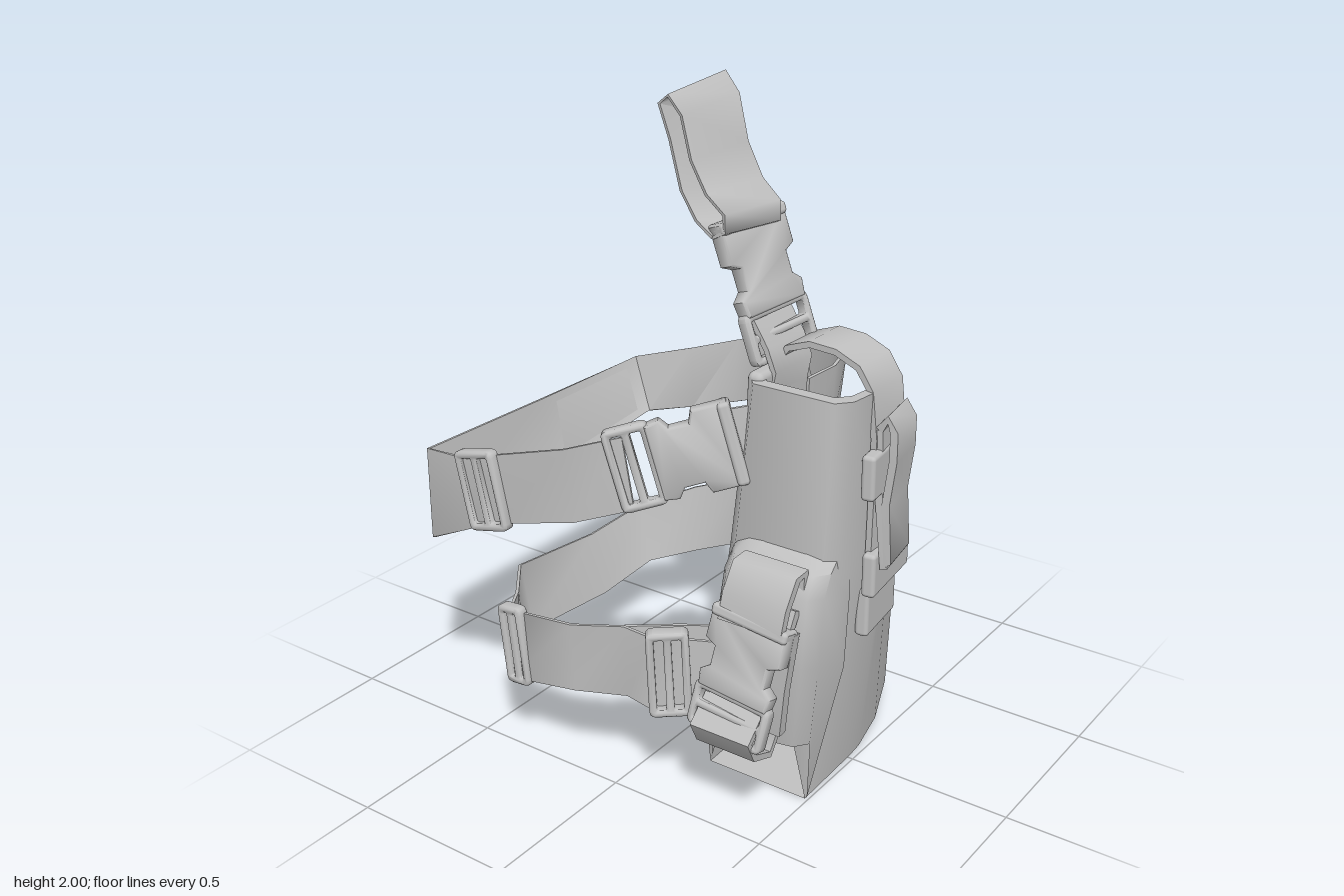
import * as THREE from 'three';
import { toCreasedNormals } from 'three/addons/utils/BufferGeometryUtils.js';
import { RoundedBoxGeometry } from 'three/addons/geometries/RoundedBoxGeometry.js';

const V = (x, y, z) => new THREE.Vector3(x, y, z);
const fabric = new THREE.MeshStandardMaterial({ color: 0xc0c0c0, side: THREE.DoubleSide });
fabric.name = 'grey fabric';

function part(name, geometry, x = 0, y = 0, z = 0) {
  const m = new THREE.Mesh(geometry, fabric);
  m.name = name;
  m.position.set(x, y, z);
  return m;
}

// Skin through rings of points
function loft(rings, { closed = true, caps = false, crease = 1.2 } = {}) {
  const n = rings[0].length, pos = [], index = [];
  rings.forEach(r => r.forEach(p => pos.push(p.x, p.y, p.z)));
  for (let i = 0; i < rings.length - 1; i++) {
    for (let j = 0; j < (closed ? n : n - 1); j++) {
      const a = i * n + j, b = i * n + (j + 1) % n;
      index.push(a, b, a + n, b, b + n, a + n);
    }
  }
  if (caps) {
    const e = (rings.length - 1) * n;
    for (let j = 1; j < n - 1; j++) index.push(0, j + 1, j, e, e + j, e + j + 1);
  }
  const g = new THREE.BufferGeometry();
  g.setAttribute('position', new THREE.Float32BufferAttribute(pos, 3));
  g.setIndex(index);
  return toCreasedNormals(g, crease);
}

// Webbing: each row holds the two edges of the band
function webbing(name, rows, thick = 0.01) {
  const A = rows.map(r => V(r[0], r[1], r[2])), B = rows.map(r => V(r[3], r[4], r[5]));
  const last = rows.length - 1;
  const rings = rows.map((_, i) => {
    const t = A[Math.min(i + 1, last)].clone().sub(A[Math.max(i - 1, 0)]);
    const n = t.cross(B[i].clone().sub(A[i])).setLength(thick / 2);
    return [A[i].clone().add(n), A[i].clone().sub(n), B[i].clone().sub(n), B[i].clone().add(n)];
  });
  return part(name, loft(rings, { caps: true }));
}
// Band whose width runs along z (leaning in x) or along x
const bandZ = (name, pts, z0, z1, t, lean = 0) =>
  webbing(name, pts.map(([x, y]) => [x - lean, y, z0, x + lean, y, z1]), t);
const bandX = (name, pts, w, t) =>
  webbing(name, pts.map(([x, y, z]) => [x - w / 2, y, z, x + w / 2, y, z]), t);

function roundRect(path, x0, y0, x1, y1, r) {
  path.moveTo(x0 + r, y0);
  path.lineTo(x1 - r, y0); path.quadraticCurveTo(x1, y0, x1, y0 + r);
  path.lineTo(x1, y1 - r); path.quadraticCurveTo(x1, y1, x1 - r, y1);
  path.lineTo(x0 + r, y1); path.quadraticCurveTo(x0, y1, x0, y1 - r);
  path.lineTo(x0, y0 + r); path.quadraticCurveTo(x0, y0, x0 + r, y0);
  return path;
}
function plate(shape, depth) {
  const g = new THREE.ExtrudeGeometry(shape, {
    depth: depth - 0.012, bevelThickness: 0.006, bevelSize: 0.006, bevelOffset: -0.006,
    bevelSegments: 1, curveSegments: 3,
  });
  g.translate(0, 0, -depth / 2 + 0.006);
  return toCreasedNormals(g, 0.8);
}
// Frame with a centre bar, from x0 to x1 and w wide
function frame(x0, x1, w, depth = 0.04) {
  const s = roundRect(new THREE.Shape(), x0, -w / 2, x1, w / 2, 0.02);
  const bar = 0.022, mid = (x0 + x1) / 2;
  s.holes.push(roundRect(new THREE.Path(), x0 + bar, -w / 2 + bar, mid - bar / 2, w / 2 - bar, 0.006));
  s.holes.push(roundRect(new THREE.Path(), mid + bar / 2, -w / 2 + bar, x1 - bar, w / 2 - bar, 0.006));
  return plate(s, depth);
}
// Turn a part so its x runs along u and its y along v
function place(object, centre, u, v) {
  const X = V(...u).normalize(), Z = X.clone().cross(V(...v)).normalize();
  object.quaternion.setFromRotationMatrix(new THREE.Matrix4().makeBasis(X, Z.clone().cross(X), Z));
  object.position.set(...centre);
  return object;
}
// Side-release buckle: waisted socket, prongs and ladder end
function buckle(name, L, W, centre, u, v) {
  const g = new THREE.Group();
  g.name = name;
  const h = W / 2, s = new THREE.Shape();
  s.moveTo(-L / 2, -h);
  for (const [x, y] of [[-0.22, -1], [-0.18, -0.72], [-0.02, -0.72], [0.04, -0.95], [0.16, -0.9],
    [0.16, 0.9], [0.04, 0.95], [-0.02, 0.72], [-0.18, 0.72], [-0.22, 1], [-0.5, 1]]) s.lineTo(x * L, y * h);
  s.closePath();
  g.add(part('buckleSocket', plate(s, 0.05)));
  g.add(part('buckleLadder', frame(L * 0.13, L / 2, W)));
  g.add(part('buckleBar', new RoundedBoxGeometry(0.035, W, 0.07, 2, 0.012), -L * 0.47, 0, 0));
  return place(g, centre, u, v);
}

function createModel() {
  const model = new THREE.Group();
  model.name = 'thighHolster';
  const add = (...items) => model.add(...items);

  // Main shell: columns of top, middle and bottom points
  const columns = [
    [.315, 1.24, .275, .27, .75, .29, .2, .22, .33],
    [.565, 1.24, .275, .55, .75, .29, .5, .22, .33],
    [.6, 1.24, .235, .59, .75, .25, .49, 0, .25],
    [.595, 1.22, 0, .58, .75, 0, .49, .01, 0],
    [.56, 1.03, -.04, .565, .7, -.05, .485, .01, -.06],
    [.495, .94, -.19, .505, .6, -.2, .46, .025, -.2],
    [.425, .85, -.32, .43, .5, -.33, .41, .065, -.345],
    [.33, .86, -.335, .32, .5, -.34, .29, .065, -.345],
    [.22, .9, -.34, .21, .5, -.335, .17, .065, -.34],
    [.27, 1.08, -.1, .23, .65, -.1, .16, .02, -.1],
    [.28, 1.24, 0, .23, .75, 0, .16, .01, 0],
    [.28, 1.24, .235, .23, .75, .25, .16, 0, .25],
  ];
  const ring = k => columns.map(c => V(c[k], c[k + 1], c[k + 2]));
  // The lining is the same ring drawn in towards its middle
  const inset = (k, cx) => ring(k).map(p => V(cx + (p.x - cx) * .84, p.y, p.z * .86));
  add(part('holsterShell', loft([ring(6), ring(3), ring(0), inset(0, .43), inset(3, .41)], { crease: 0.9 })));
  const foot = ring(6);
  add(part('holsterFloor', loft([[2, 11], [3, 10], [5, 9], [6, 8]].map(r => r.map(i => foot[i])), { closed: false })));

  // Inner padding behind the hanger
  const pad = part('innerPad', new RoundedBoxGeometry(.05, .4, .25, 2, .02), .295, 1.06, .13);
  pad.rotation.z = -0.04;
  add(pad);

  // Bulging pouch on the lower front: y, left x, right x, front z
  const pouch = [[.23, .215, .535, .355], [.5, .235, .575, .385], [.71, .265, .585, .38], [.77, .275, .585, .35],
    [.8, .29, .575, .29]]
    .map(([y, l, r, f]) => [V(l, y - .06, .2), V(l, y, f - .05), V(l + .03, y, f - .01), V(l + .08, y, f),
      V(r - .08, y, f), V(r - .03, y, f - .01), V(r, y, f - .05), V(r, y - .06, .2)]);
  Object.assign(pouch[0][0], { x: .16, y: 0, z: .245 });
  Object.assign(pouch[0][7], { x: .493, y: 0, z: .245 });
  add(part('frontPouch', loft(pouch, { closed: false, crease: 1 })));

  // Upper leg strap
  add(webbing('upperLegStrap', [
    [.315, 1.17, 0, .305, .97, 0], [.32, 1.17, -.13, .31, .97, -.13], [.285, 1.17, -.25, .265, .96, -.24],
    [.2, 1.16, -.345, .17, .95, -.33], [0, 1.11, -.46, -.01, .9, -.445], [-.12, 1.06, -.5, -.12, .86, -.48],
    [-.29, 1, -.55, -.28, .8, -.5], [-.45, .95, -.51, -.42, .76, -.475], [-.67, .88, -.485, -.58, .72, -.44],
    [-.675, .88, 0, -.635, .64, 0], [-.67, .89, .5, -.63, .63, .54], [-.5, .92, .54, -.48, .7, .54],
    [-.38, .95, .52, -.37, .74, .52], [-.13, 1.03, .525, -.1, .82, .525], [.02, 1.08, .46, .05, .87, .45],
  ]));
  // Lower leg strap
  add(webbing('lowerLegStrap', [
    [.25, .57, -.2, .22, .33, -.2], [.2, .57, -.345, .19, .33, -.34], [0, .56, -.455, 0, .33, -.44],
    [-.25, .53, -.51, -.25, .3, -.49], [-.4, .48, -.455, -.38, .26, -.43], [-.56, .41, -.35, -.51, .22, -.34],
    [-.565, .4, -.1, -.515, .2, -.1], [-.61, .4, .2, -.56, .19, .21], [-.46, .43, .38, -.45, .23, .37],
    [-.38, .45, .5, -.37, .23, .51], [-.13, .49, .52, -.12, .28, .52], [.02, .51, .47, .03, .29, .47],
    [.14, .52, .49, .14, .29, .49], [.22, .51, .42, .22, .29, .42], [.29, .49, .35, .29, .29, .35],
  ]));
  // Side branch towards the shell
  add(webbing('lowerStrapAnchor', [
    [0, .5, .46, 0, .32, .46], [.13, .5, .36, .13, .32, .36], [.25, .49, .26, .24, .3, .26],
  ]));

  // Strap sliders and buckles
  add(place(part('upperSlider', frame(-.07, .07, .24)), [-.425, .835, .535], [1, .22, -.05], [-.1, 1, 0]));
  add(place(part('lowerSlider', frame(-.045, .045, .25)), [-.35, .35, .51], [1, .12, .05], [-.08, 1, 0]));
  add(place(part('lowerStrapFrame', frame(-.06, .06, .26, .05)), [.175, .415, .47], [1, .05, -.75], [-.05, 1, 0]));
  add(buckle('upperStrapBuckle', .35, .24, [.13, 1.02, .375], [-.27, -.09, .2], [-.15, 1, 0]));
  add(webbing('upperStrapAnchor', [[.22, 1.15, .3, .24, .93, .3], [.32, 1.17, .22, .32, .95, .22]]));

  // Hanger: folded strap end above a buckle, turned slightly outwards
  add(webbing('hangerStrap', [
    [.19, 1.6], [.14, 1.64], [.095, 1.72], [.065, 1.86], [.035, 1.955], [.065, 1.98], [.105, 1.93],
    [.13, 1.81], [.175, 1.72], [.23, 1.67], [.23, 1.62], [.19, 1.6],
  ].map(([x, y]) => {
    const k = (y - 1.6) / .4 * .02;
    return [x + .01, y + k, .04 + k, x - .035, y - k, .235 + k];
  })));
  add(buckle('hangerBuckle', .39, .24, [.245, 1.455, .11], [.12, -.35, -.01], [-.22, 0, 1]));
  add(bandZ('hangerAnchor', [[.26, 1.38], [.305, 1.31], [.33, 1.25], [.3, 1.1]], .02, .2, .016));

  // Retention band over the mouth and down the outer side
  add(bandZ('retentionBand', [[.27, 1.15], [.285, 1.24], [.33, 1.3], [.4, 1.325], [.48, 1.32], [.55, 1.29],
    [.59, 1.23], [.605, 1.1], [.6, .72]], -.02, .135, .018));
  add(bandZ('outerFlap', [[.605, 1.13], [.63, 1.165], [.65, 1.13], [.65, 1.05], [.633, .92], [.645, .75],
    [.635, .73], [.625, .82], [.61, .95], [.605, 1.13]], -.015, .13, .022, .012));
  const keeper = (name, x, y, z, h, w) => {
    const k = part(name, new RoundedBoxGeometry(.04, h, w, 2, .012), x, y, z);
    k.rotation.y = 0.12;
    add(k);
  };
  keeper('upperKeeper', .605, 1.01, .065, .13, .25);
  keeper('lowerKeeper', .6, .71, .035, .13, .25);
  keeper('sidePatch', .565, .57, .02, .15, .2);

  // Closure down the front of the pouch
  add(bandX('closureLoop', [[.44, .72, .35], [.44, .78, .35], [.44, .775, .39], [.435, .7, .43],
    [.43, .63, .445], [.43, .61, .41], [.435, .68, .38]], .2, .025));
  add(buckle('frontBuckle', .35, .24, [.408, .475, .465], [-.1, -.93, .25], [1, -.1, 0]));
  add(bandX('closureTail', [[.4, .4, .47], [.395, .33, .535], [.39, .27, .5], [.38, .23, .41], [.385, .3, .37],
    [.39, .42, .39]], .19, .02));
  add(bandX('closureBacking', [[.43, .62, .4], [.41, .45, .41], [.39, .3, .4]], .23, .03));

  return model;
}

export { createModel };
